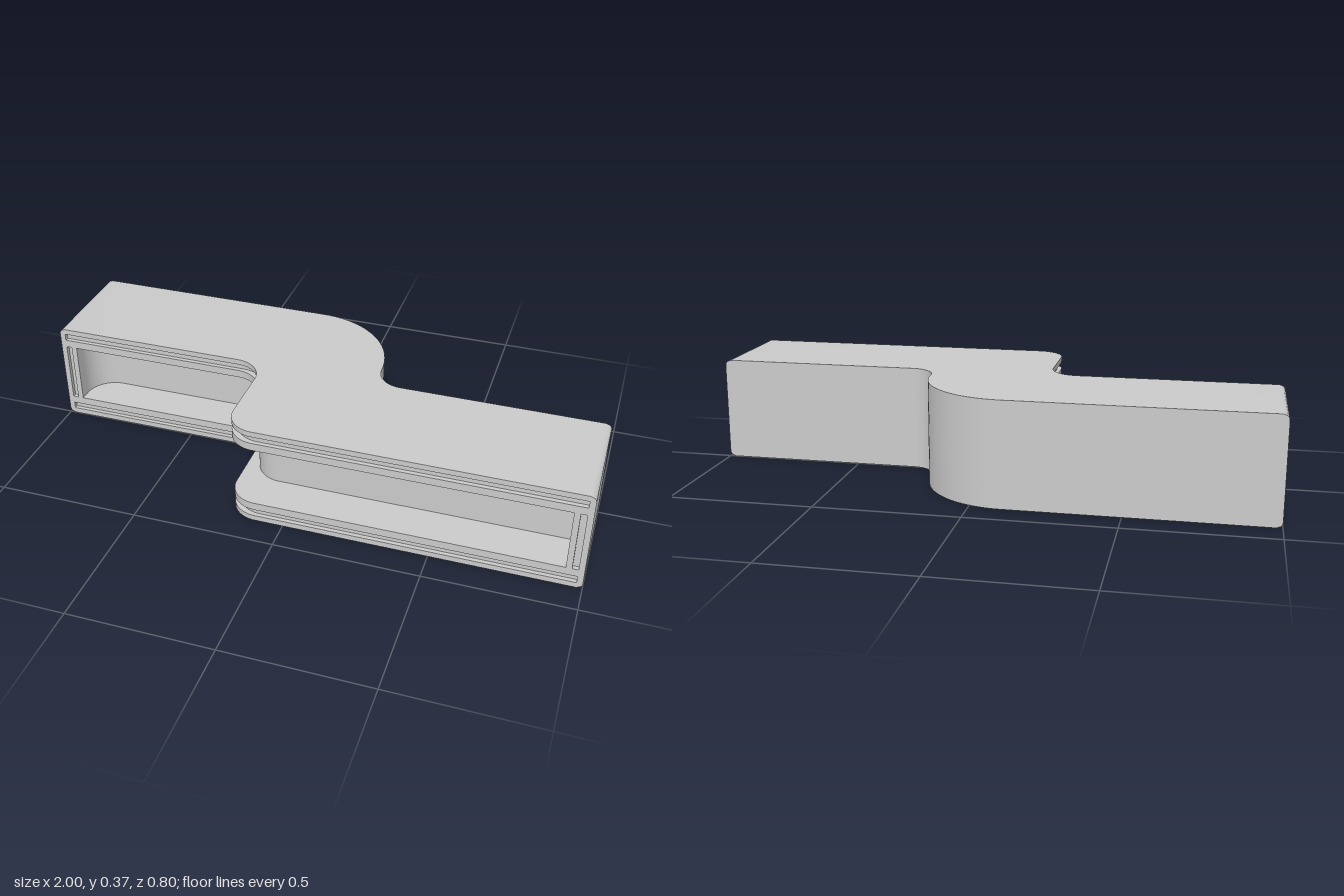
import * as THREE from 'three';
import { toCreasedNormals } from 'three/addons/utils/BufferGeometryUtils.js';

const PI = Math.PI, HEIGHT = 0.365, EDGE = 0.02;

// Cuts one end post's narrow groove into the front edge, working from x = a to x = b
function notch(s, a, b, v) {
  s.lineTo(a, v);
  s.lineTo(a, v + 0.015);
  s.lineTo(b, v + 0.015);
  s.lineTo(b, v);
}

// S-shaped plan (x, -z). The front edge can be recessed by depth, keeping an end post
// of the given width; shift moves the recessed step sideways.
function plan({ post = 0, depth = 0, shift = 0, fillet = 0, grooved = false }) {
  const s = new THREE.Shape();
  s.moveTo(-1, 0.4);
  s.lineTo(-0.11, 0.4);
  s.absarc(-0.11, 0.09, 0.31, PI / 2, 0, true);
  s.absarc(0.29, 0.09, 0.09, PI, 1.5 * PI, false);
  s.lineTo(1, 0);
  s.lineTo(1, -0.4);
  if (grooved) notch(s, 0.98, 0.96, -0.4);
  if (post) {
    s.lineTo(1 - post, -0.4);
    s.lineTo(1 - post, -0.4 + depth);
  }
  s.lineTo(-0.1 + shift, -0.4 + depth);
  s.absarc(-0.1 + shift, -0.3 + depth, 0.1, 1.5 * PI, PI, true);
  s.absarc(-0.3 + shift, -0.1 + depth, 0.1, 0, PI / 2, false);
  if (fillet) s.absarc(-1 + post + fillet, depth - fillet, fillet, PI / 2, PI, false);
  else if (post) s.lineTo(-1 + post, depth);
  if (post) s.lineTo(-1 + post, 0);
  if (grooved) notch(s, -0.96, -0.98, 0);
  s.lineTo(-1, 0);
  s.closePath();
  return s;
}

// Extrudes a plan between two heights and rounds the long edges of the two ends
function layer(name, shape, y0, y1, material, steps = 1) {
  const g = new THREE.ExtrudeGeometry(shape, {
    depth: y1 - y0, steps, bevelEnabled: false, curveSegments: 12,
  });
  g.rotateX(-PI / 2).translate(0, y0, 0);
  const p = g.attributes.position;
  for (let i = 0; i < p.count; i++) {
    const x = p.getX(i), y = p.getY(i);
    const t = Math.max(0, Math.min(y, HEIGHT - y));
    if (Math.abs(x) > 0.995 && t < EDGE) {
      const inset = EDGE - Math.sqrt(EDGE ** 2 - (EDGE - t) ** 2);
      p.setX(i, Math.sign(x) * (1 - inset));
    }
  }
  const mesh = new THREE.Mesh(toCreasedNormals(g, 0.6), material);
  mesh.name = name;
  return mesh;
}

export function createModel() {
  const group = new THREE.Group();
  group.name = 'steppedChannel';
  const material = new THREE.MeshStandardMaterial({ color: 0xcccccc });

  const full = plan({});
  const groove = plan({ post: 0.02, depth: 0.015, shift: 0.015 });
  const cavity = plan({ post: 0.06, depth: 0.14, shift: 0.04, fillet: 0.1, grooved: true });

  // Lower and upper plates: outer skin, grooved core and inner lip
  for (const [side, flip] of [['lower', false], ['upper', true]]) {
    const add = (part, shape, a, b, steps) => group.add(layer(side + part, shape,
      flip ? HEIGHT - b : a, flip ? HEIGHT - a : b, material, steps));
    add('Skin', full, 0, 0.02, 4);
    add('Groove', groove, 0.02, 0.045);
    add('Lip', full, 0.045, 0.073);
  }

  // Back wall and end posts around the open front cavity
  group.add(layer('cavityWall', cavity, 0.073, HEIGHT - 0.073, material));
  return group;
}
